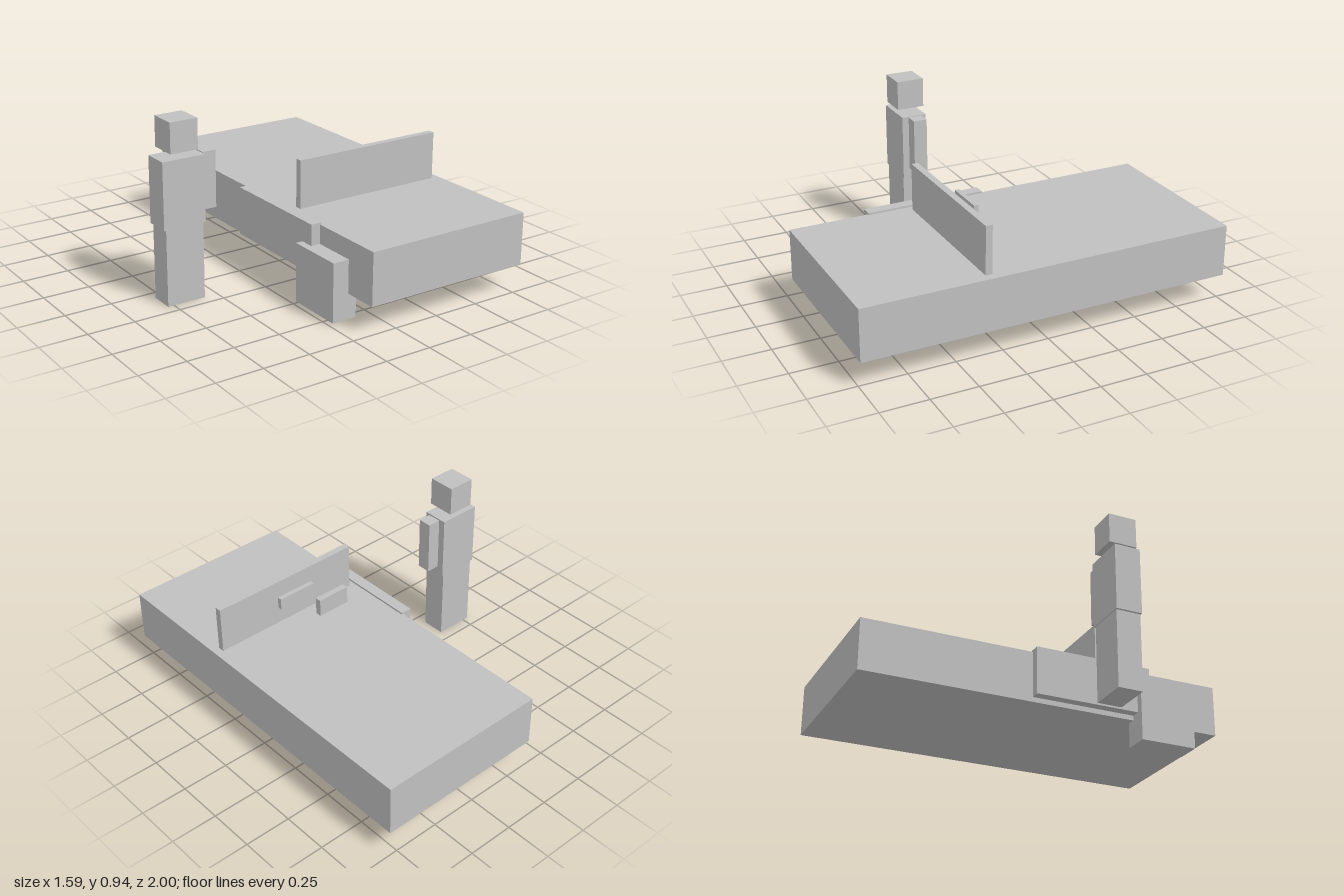
import * as THREE from 'three';

export function createModel() {
  const model = new THREE.Group();
  model.name = 'figureBesideTable';
  const grey = new THREE.MeshStandardMaterial({ color: 0xc0c0c0 });
  grey.name = 'plainGrey';

  // Adds a box given its [min, max] extent along each axis
  function addBox(parent, name, [x0, x1], [y0, y1], [z0, z1]) {
    const mesh = new THREE.Mesh(new THREE.BoxGeometry(x1 - x0, y1 - y0, z1 - z0), grey);
    mesh.name = name;
    mesh.position.set((x0 + x1) / 2, (y0 + y1) / 2, (z0 + z1) / 2);
    parent.add(mesh);
  }

  // Standing figure
  const figure = new THREE.Group();
  figure.name = 'figure';
  addBox(figure, 'legs', [-0.783, -0.574], [0, 0.403], [0.06, 0.19]);
  addBox(figure, 'torso', [-0.795, -0.562], [0.403, 0.753], [0.055, 0.193]);
  addBox(figure, 'head', [-0.753, -0.602], [0.787, 0.945], [0.05, 0.2]);
  addBox(figure, 'arm', [-0.553, -0.481], [0.455, 0.753], [0.085, 0.16]);

  // Long slab with the panels standing on it
  const table = new THREE.Group();
  table.name = 'table';
  addBox(table, 'slab', [-0.145, 0.793], [0.145, 0.422], [-1, 1]);
  addBox(table, 'uprightPanel', [-0.102, 0.749], [0.42, 0.677], [0.307, 0.343]);
  addBox(table, 'lowPlate', [0.003, 0.19], [0.42, 0.52], [0.203, 0.237]);
  addBox(table, 'floatingPlate', [0.215, 0.43], [0.573, 0.635], [0.223, 0.247]);

  // Rail along the side and the block below it
  addBox(table, 'sideRail', [-0.196, -0.136], [0.172, 0.432], [-0.077, 0.575]);
  addBox(table, 'sideBlock', [-0.234, -0.098], [0.01, 0.321], [0.5, 0.812]);

  model.add(figure, table);
  return model;
}
